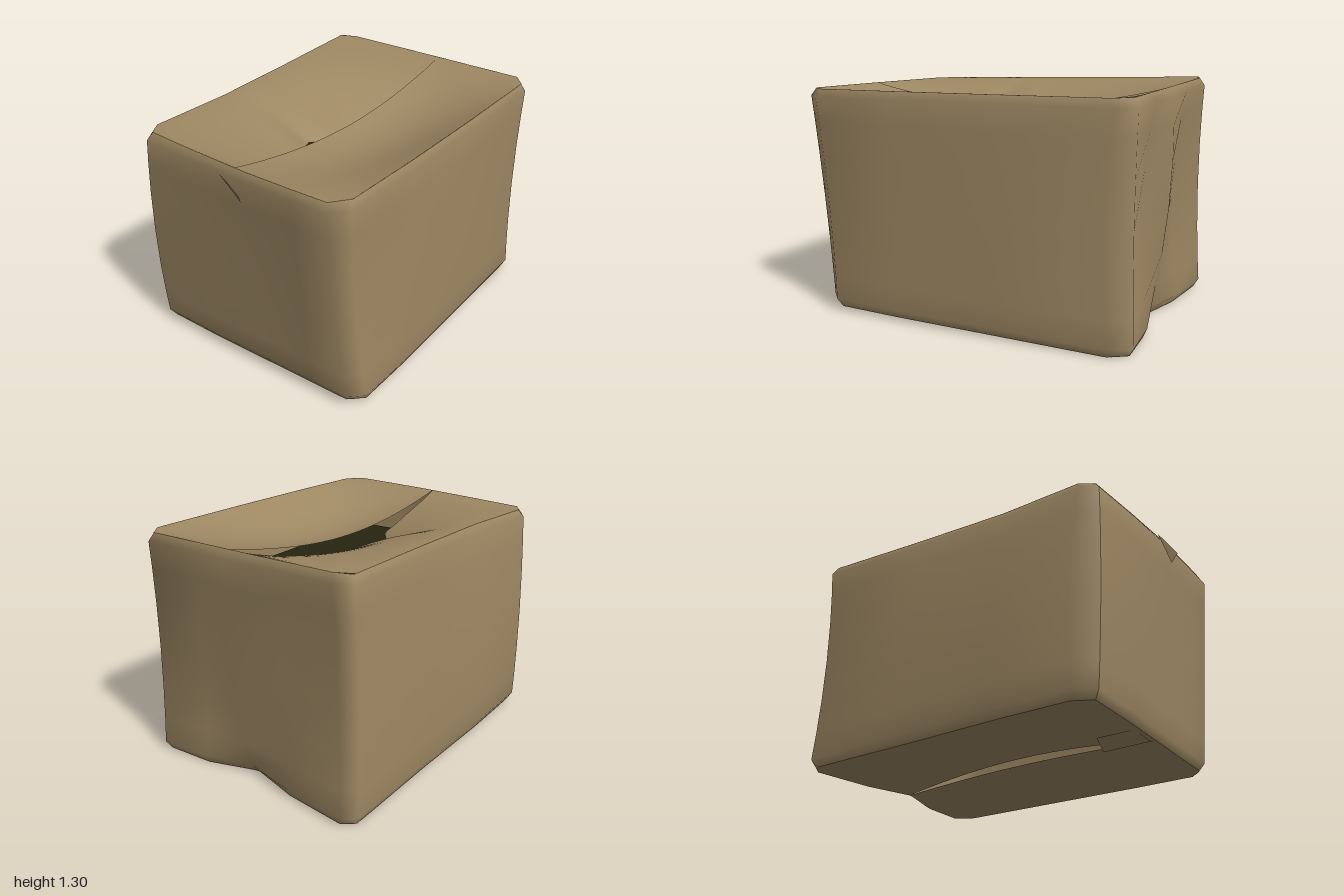
import * as THREE from 'three';

const lerp = THREE.MathUtils.lerp;
const cardboard = new THREE.MeshStandardMaterial({ name: 'cardboard', color: 0x9e8863, side: THREE.DoubleSide });
const darkInside = new THREE.MeshStandardMaterial({ name: 'dark inside', color: 0x26240f, side: THREE.DoubleSide });

// Outline of the walls as [x, z]: front (5), +x side (4), back (5), -x side (4)
const bottomRing = [
  [-0.66, 0.84], [-0.3, 0.85], [0.1, 0.85], [0.4, 0.85], [0.63, 0.85],
  [0.71, 0.78], [0.72, 0.4], [0.72, -0.2], [0.72, -0.85],
  [0.65, -0.95], [0.35, -0.94], [0.05, -0.85], [-0.25, -0.94], [-0.62, -0.99],
  [-0.69, -0.94], [-0.7, -0.3], [-0.72, 0.3], [-0.72, 0.74]];
const middleRing = [
  [-0.66, 0.88], [-0.3, 0.9], [0.1, 0.9], [0.4, 0.91], [0.6, 0.92],
  [0.67, 0.84], [0.72, 0.4], [0.73, -0.2], [0.72, -0.8],
  [0.64, -0.93], [0.35, -0.88], [0.1, -0.96], [-0.2, -0.9], [-0.6, -0.96],
  [-0.68, -0.91], [-0.7, -0.3], [-0.72, 0.3], [-0.73, 0.74]];
const topRing = [
  [-0.63, 0.88], [-0.3, 0.92], [0.1, 0.96], [0.4, 0.975], [0.61, 0.98],
  [0.69, 0.89], [0.71, 0.4], [0.72, -0.2], [0.72, -0.85],
  [0.65, -0.94], [0.35, -0.95], [0.1, -0.96], [-0.2, -0.97], [-0.58, -0.98],
  [-0.68, -0.95], [-0.66, -0.3], [-0.65, 0.3], [-0.68, 0.8]];

const floorY = (x, z) => 0.016 + 0.016 * z;
const roofY = (x, z) => 1.27 - 0.02 * z + 0.015 * x * z;

// Builds a smooth surface from a grid of points
function surface(name, rows, material = cardboard, flip = false) {
  const width = rows[0].length, index = [];
  for (let j = 0; j < rows.length - 1; j++) {
    for (let i = 0; i < width - 1; i++) {
      const a = j * width + i, b = a + 1, d = a + width, c = d + 1;
      if (flip) index.push(a, c, b, a, d, c);
      else index.push(a, b, c, a, c, d);
    }
  }
  const geometry = new THREE.BufferGeometry();
  geometry.setAttribute('position', new THREE.Float32BufferAttribute(rows.flat(2), 3));
  geometry.setIndex(index);
  geometry.computeVertexNormals();
  const mesh = new THREE.Mesh(geometry, material);
  mesh.name = name;
  return mesh;
}

// Walls lean and bulge along a curve through the three outlines
function walls() {
  const levels = [0, 0.035, 0.15, 0.3, 0.5, 0.7, 0.85, 0.965, 1];
  const rows = levels.map((t) => {
    const a = 2 * (t - 0.5) * (t - 1), b = -4 * t * (t - 1), c = 2 * t * (t - 0.5);
    const inset = t === 0 || t === 1 ? 0.97 : 1;
    const row = topRing.map((p, i) => {
      const [x, z] = [0, 1].map((k) => inset * (a * bottomRing[i][k] + b * middleRing[i][k] + c * p[k]));
      return [x, lerp(floorY(x, z), roofY(x, z), t), z];
    });
    return [...row, row[0]];
  });
  return surface('walls', rows);
}

// Piecewise linear lookup of one coordinate of an edge by the other
function along(points, key, value) {
  const sorted = [...points].sort((p, q) => p[key] - q[key]);
  const i = Math.max(1, sorted.findIndex((p) => p[key] >= value));
  const last = value > sorted.at(-1)[key] ? sorted.length - 1 : i;
  const [p, q] = [sorted[last - 1], sorted[last]];
  const t = THREE.MathUtils.clamp((value - p[key]) / (q[key] - p[key]), 0, 1);
  return lerp(p[1 - key], q[1 - key], t);
}

// A closing flap from the rim of one side (-1 or 1) to the seam
function flap(name, ring, side, baseY, seamX, sag, flip) {
  const edge = ring.map((p) => p.map((n) => n * 0.972));
  const front = edge.slice(0, 5), back = edge.slice(9, 14);
  const rim = side > 0 ? edge.slice(4, 10) : [...edge.slice(13), edge[0]];
  const rows = [];
  for (let j = 0; j <= 44; j++) {
    const v = j / 44, row = [];
    const rimZ = lerp(rim.at(side > 0 ? 0 : -1)[1], rim.at(side > 0 ? -1 : 0)[1], v);
    const rimX = along(rim, 1, rimZ);
    for (let i = 0; i <= 16; i++) {
      const u = i / 16;
      const x = lerp(rimX, seamX(v), u);
      const z = lerp(along(front, 0, x), along(back, 0, x), v);
      row.push([x, baseY(x, z) - sag(u, v), z]);
    }
    rows.push(row);
  }
  return surface(name, rows, cardboard, flip);
}

export function createModel() {
  const box = new THREE.Group();
  box.name = 'cardboardBox';
  box.add(walls());

  // Sagging top flaps with a torn gap between them
  const dip = (v) => Math.sin(Math.PI * v) ** 0.9;
  const seam = (v) => lerp(0.02, 0.08, v);
  const tear = (v) => 0.11 * Math.max(0, 1 - Math.abs(v - 0.38) / 0.07);
  const gap = (v) => 0.035 * Math.max(0, Math.sin(Math.PI * (v - 0.16) / 0.64)) + tear(v);
  box.add(flap('topFlapRight', topRing, -1, roofY, (v) => seam(v) - gap(v),
    (u, v) => 0.2 * dip(v) * u ** 1.5, true));
  box.add(flap('topFlapLeft', topRing, 1, roofY, seam,
    (u, v) => 0.15 * dip(v) * Math.sin(2.2 * u), false));

  // Bottom flaps, one pushed inwards along the seam
  const under = (v) => lerp(0.0, 0.04, v);
  box.add(flap('bottomFlapRight', bottomRing, -1, floorY, under,
    (u, v) => -0.07 * dip(v) * u * u, false));
  box.add(flap('bottomFlapLeft', bottomRing, 1, floorY, under,
    (u, v) => -0.03 * dip(v) * u, true));

  // Darkness seen through the gap
  const inside = new THREE.Mesh(new THREE.BoxGeometry(0.7, 0.008, 1.5), darkInside);
  inside.name = 'inside';
  inside.position.set(0.1, 1.0, 0);
  box.add(inside);

  // Torn paper scraps on the front wall and under its lower edge
  box.add(surface('frontScrap', [
    [[-0.06, 1.215, 0.955], [0.09, 1.1, 0.965]],
    [[0.02, 1.19, 0.975], [0.105, 1.16, 1.0]]]));
  box.add(surface('lowerScrap', [
    [[-0.22, 0.018, 0.6], [-0.05, 0.0, 0.55]],
    [[-0.2, 0.03, 0.8], [0.0, 0.028, 0.8]]]));
  return box;
}
